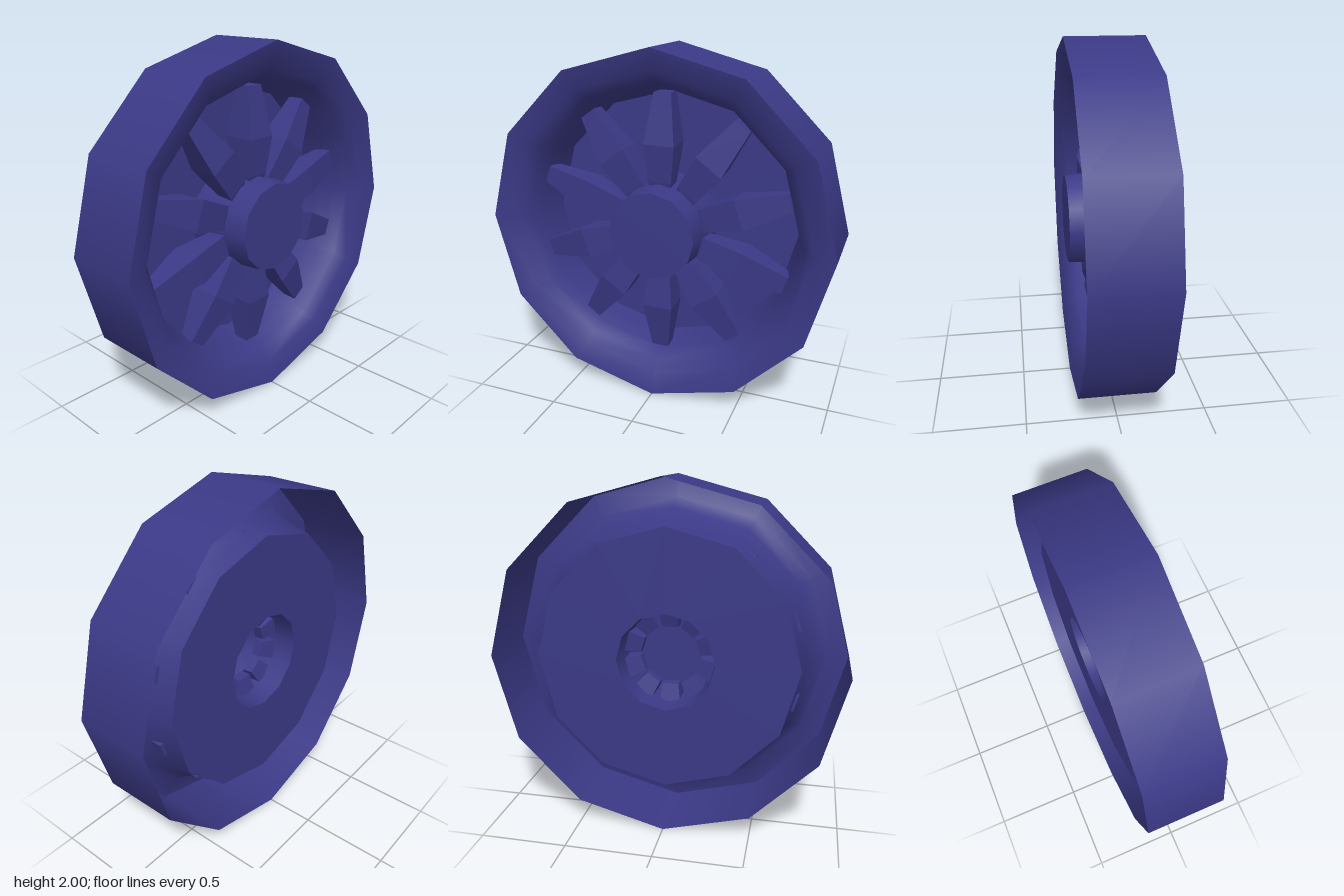
import * as THREE from 'three';

const SIDES = 12;
const BLADES = 10;

// Thick petal-shaped blade: a box section that swells at mid-span along the radius (+y)
function bladeGeometry() {
  // radius, half width, front z, back z
  const stations = [
    [0.17, 0.05, 0.06, 0],
    [0.27, 0.067, 0.085, -0.03],
    [0.48, 0.088, 0.108, -0.075],
    [0.757, 0.05, 0.055, -0.04],
  ];
  const positions = [];
  const index = [];
  for (const [r, w, front, back] of stations) {
    positions.push(w, r, front, -w, r, front, -w * 0.9, r, back, w * 0.9, r, back);
  }
  for (let i = 0; i < stations.length - 1; i++) {
    for (let j = 0; j < 4; j++) {
      const a = i * 4 + j, b = i * 4 + (j + 1) % 4;
      index.push(a, a + 4, b, b, a + 4, b + 4);
    }
  }
  const t = (stations.length - 1) * 4;
  index.push(0, 1, 2, 0, 2, 3, t, t + 2, t + 1, t, t + 3, t + 2);
  const g = new THREE.BufferGeometry();
  g.setAttribute('position', new THREE.Float32BufferAttribute(positions, 3));
  g.setIndex(index);
  const flat = g.toNonIndexed();
  flat.computeVertexNormals();
  return flat;
}

export function createModel() {
  const group = new THREE.Group();
  const color = 0x3b3986;
  const smooth = new THREE.MeshStandardMaterial({ color, side: THREE.DoubleSide });
  const faceted = new THREE.MeshStandardMaterial({ color, side: THREE.DoubleSide, flatShading: true });

  const fan = new THREE.Group();
  fan.name = 'fan';
  fan.position.y = 1;
  group.add(fan);

  // Each [radius, z] profile is spun about the z axis
  const spin = (name, profile) => {
    const g = new THREE.LatheGeometry(profile.map(([r, z]) => new THREE.Vector2(r, z)), SIDES);
    g.rotateX(Math.PI / 2);
    const mesh = new THREE.Mesh(g, smooth);
    mesh.name = name;
    fan.add(mesh);
  };

  // Thin sheet housing, open at the back
  spin('outerShell', [[1, -0.22], [1, 0.215]]);
  spin('intakeFunnel', [[0.745, -0.15], [0.76, -0.06], [0.785, 0.03], [0.82, 0.12], [0.88, 0.185], [1, 0.215]]);
  spin('backPlate', [[0.745, -0.15], [0.28, -0.15]]);
  spin('hubWall', [[0.28, -0.15], [0.25, 0.22]]);
  spin('hubCap', [[0.25, 0.22], [0, 0.22]]);

  // Ring of blades
  const bladeGeo = bladeGeometry();
  for (let i = 0; i < BLADES; i++) {
    const blade = new THREE.Mesh(bladeGeo, faceted);
    blade.name = 'blade' + (i + 1);
    blade.rotation.z = -0.01 + (i / BLADES) * Math.PI * 2;
    fan.add(blade);
  }
  return group;
}
